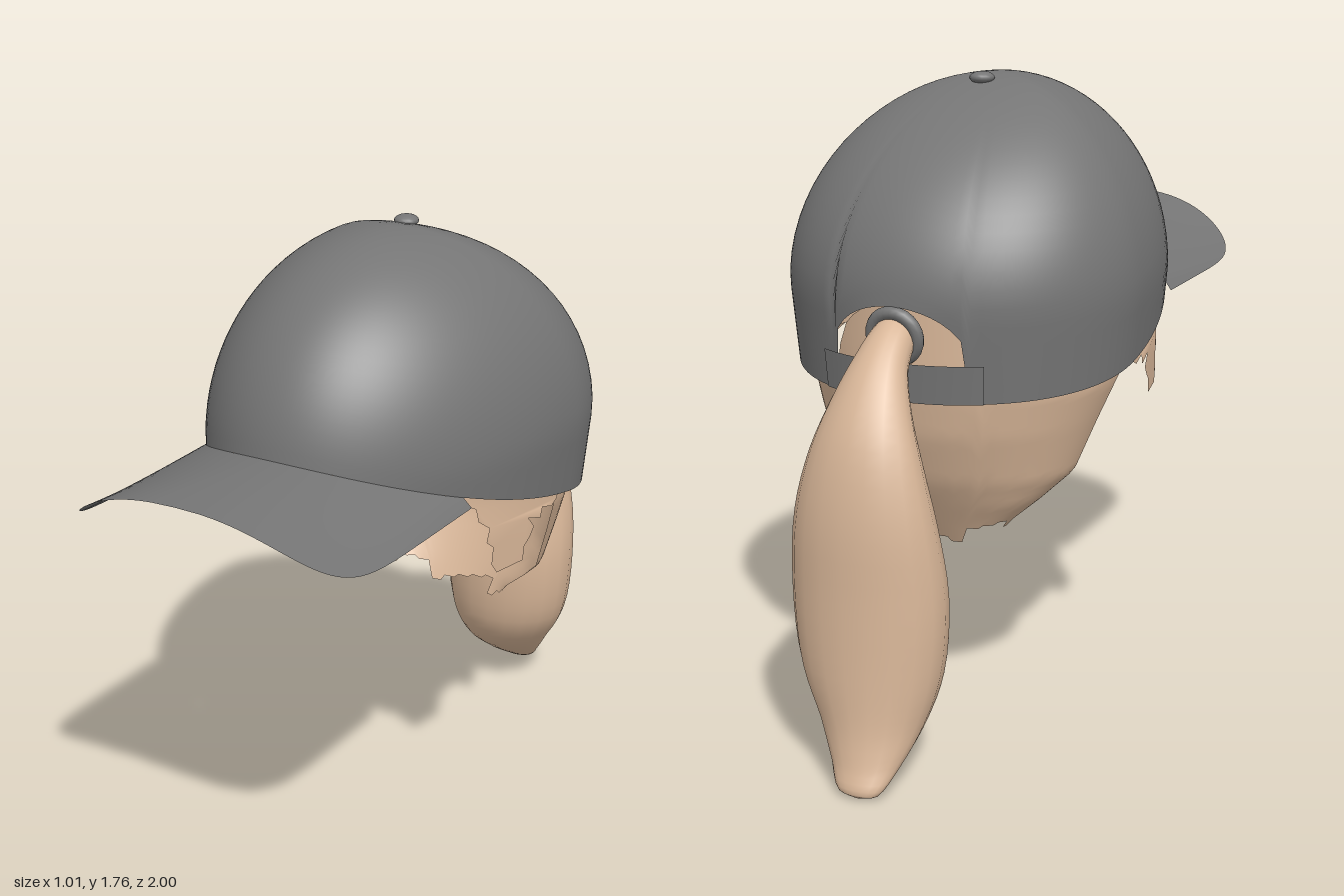
import * as THREE from 'three';

const cloth = new THREE.MeshStandardMaterial({ color: 0x757575, side: THREE.DoubleSide });
cloth.name = 'greyCloth';
const hairMat = new THREE.MeshStandardMaterial({ color: 0xd8b698, side: THREE.DoubleSide });
hairMat.name = 'tanHair';

// Grid surface from a rule f(u, v) -> [x, y, z]; closed joins the u ends
function surface(nu, nv, f, closed = false) {
  const pos = [], idx = [], cols = closed ? nu : nu + 1;
  for (let j = 0; j <= nv; j++)
    for (let i = 0; i < cols; i++) pos.push(...f(i / nu, j / nv));
  for (let j = 0; j < nv; j++)
    for (let i = 0; i < nu; i++) {
      const a = j * cols + i, b = j * cols + ((i + 1) % cols);
      idx.push(a, b, b + cols, a, b + cols, a + cols);
    }
  const g = new THREE.BufferGeometry();
  g.setAttribute('position', new THREE.Float32BufferAttribute(pos, 3));
  g.setIndex(idx);
  g.computeVertexNormals();
  return g;
}

// Linear lookup in rows whose first entry (height) decreases
function lookup(rows, y) {
  let i = 0;
  while (i < rows.length - 2 && y < rows[i + 1][0]) i++;
  const a = rows[i], b = rows[i + 1];
  const t = THREE.MathUtils.clamp((y - a[0]) / (b[0] - a[0]), 0, 1);
  return a.map((n, k) => n + (b[k] - n) * t);
}

// Crown surface: angle 0 is the front
function capPoint(a, y) {
  const u = Math.max(0, (y - 1.2) / 0.55), c = Math.sqrt(Math.max(0, 1 - u * u));
  const below = 0.1 * Math.max(0, 1.2 - y);
  const cz = -0.18 * c, front = 0.61 * c, back = 0.645 * Math.pow(c, 1.3) - below * 0.8;
  const cos = Math.cos(a);
  return [(0.505 * c - below) * Math.sin(a), y, cz + cos * (cos > 0 ? front - cz : back + cz)];
}
const rimAt = z => 1.05 + 0.255 * z + 0.17 * z * z;
const rimY = a => rimAt(capPoint(a, 1.15)[2]);
const arch = x => (Math.abs(x) < 0.2 ? 1.06 + 0.15 * Math.sqrt(1 - (x / 0.2) ** 2) : 0);

export function createModel() {
  const model = new THREE.Group();
  const add = (name, geo, mat) => {
    const m = new THREE.Mesh(geo, mat);
    m.name = name;
    model.add(m);
    return m;
  };

  // Crown with an arched opening at the back
  add('crown', surface(120, 24, (u, v) => {
    const a = u * Math.PI * 2, x = capPoint(a, 1.1)[0];
    const low = Math.cos(a) < 0 ? Math.max(rimY(a), arch(x)) : rimY(a);
    return capPoint(a, low + (1.75 - low) * Math.sin(v * Math.PI / 2));
  }, true), cloth);

  // Strap closing the opening
  add('strap', surface(16, 2, (u, v) => {
    const a = Math.PI + (u - 0.5) * 0.98;
    const p = capPoint(a, rimY(a) + 0.105 * v);
    return [p[0] * 1.01, p[1], p[2] - 0.006];
  }), cloth);

  const button = add('button', new THREE.SphereGeometry(0.035, 16, 10), cloth);
  button.scale.y = 0.5;
  button.position.set(0, 1.741, -0.1);

  // Brim, bent down toward both sides
  add('brim', surface(64, 8, (u, v) => {
    const s = u * 2 - 1, a = s * 0.94, p = capPoint(a, rimY(a));
    const b = s * Math.PI / 2;
    const x = 0.425 * Math.sign(b) * Math.pow(Math.abs(Math.sin(b)), 0.6);
    const z = 0.28 + 0.715 * Math.pow(Math.max(0, Math.cos(b)), 0.25);
    const y = 1.278 - 0.168 * Math.pow(Math.abs(x) / 0.425, 2.5);
    return [p[0] + (x - p[0]) * v, p[1] + (y - p[1]) * v, p[2] + (z - p[2]) * v];
  }), cloth);

  // Back hair: height, half width, z of the front edge, z of the back
  const levels = [
    [1.22, 0.46, -0.08, -0.61], [1.03, 0.455, -0.1, -0.61], [0.96, 0.44, -0.18, -0.6],
    [0.85, 0.4, -0.22, -0.58], [0.71, 0.35, -0.26, -0.53], [0.64, 0.28, -0.33, -0.49],
    [0.57, 0.2, -0.36, -0.45], [0.5, 0.16, -0.37, -0.41],
  ];
  const jag = [0, 0.02, 0.01, 0, -0.05, -0.035, -0.025, -0.015, -0.005, -0.05, -0.03, -0.015, 0];
  add('backHair', surface(48, 24, (u, v) => {
    const a = (u - 0.5) * Math.PI, x0 = 0.45 * Math.sin(a);
    const top = Math.max(rimAt(-0.1 - 0.5 * Math.cos(a)) + 0.015, arch(x0));
    const bottom = 0.56 + jag[Math.floor(u * 12)];
    const y = top + (bottom - top) * v;
    const [, w, edge, back] = lookup(levels, y);
    return [w * Math.sin(a), y, edge + (back - edge) * Math.cos(a)];
  }), hairMat);

  // Ragged hair in front of each ear, curved to the inside of the crown
  const ragged = [
    [0.46, 1.23], [0.4, 1.18], [0.31, 1.14], [0.29, 1.12], [0.22, 1.08], [0.21, 1.04], [0.17, 1.01],
    [0.18, 0.97], [0.155, 0.95], [0.16, 0.9], [0.14, 0.87], [0.03, 0.87], [0.025, 0.91],
    [0, 0.93], [-0.02, 0.955], [0.01, 0.99], [-0.05, 0.97], [-0.06, 1.0], [-0.11, 0.985],
    [-0.14, 1.0], [-0.15, 1.05], [0, 1.08], [0.15, 1.13], [0.3, 1.18],
  ].map(p => new THREE.Vector2(...p));
  for (const side of [1, -1]) {
    const g = new THREE.ShapeGeometry(new THREE.Shape(ragged));
    const p = g.attributes.position;
    for (let i = 0; i < p.count; i++) {
      const z = p.getX(i);
      p.setXYZ(i, side * 0.47 * Math.sqrt(1 - ((z + 0.18) / 0.79) ** 2), p.getY(i), z);
    }
    g.computeVertexNormals();
    add(side > 0 ? 'leftSideHair' : 'rightSideHair', g, hairMat);
  }

  // Ponytail rings: outer z, outer y, inner z, inner y, centre x, half width
  const rings = [
    [-0.57, 1.19, -0.57, 1.09, 0, 0.055], [-0.65, 1.18, -0.62, 1.07, 0, 0.06],
    [-0.74, 1.12, -0.67, 1.02, 0, 0.075], [-0.82, 1.03, -0.695, 0.92, 0, 0.11],
    [-0.89, 0.9, -0.695, 0.8, 0, 0.155], [-0.93, 0.72, -0.675, 0.67, 0, 0.195],
    [-0.94, 0.5, -0.645, 0.48, -0.005, 0.215], [-0.95, 0.3, -0.66, 0.28, -0.015, 0.195],
    [-0.96, 0.17, -0.72, 0.17, -0.035, 0.145], [-0.98, 0.08, -0.83, 0.085, -0.05, 0.1],
    [-1.0, 0.02, -0.95, 0.012, -0.06, 0.055], [-0.985, 0.005, -0.975, 0.002, -0.06, 0.005],
  ];
  const curve = k => new THREE.CatmullRomCurve3(rings.map(r => new THREE.Vector3(...r.slice(k, k + 3))));
  const first = curve(0), second = curve(3);
  add('ponytail', surface(20, 44, (u, v) => {
    const a = u * Math.PI * 2, p = first.getPoint(v), q = second.getPoint(v);
    const t = 0.5 + 0.5 * Math.cos(a);
    return [q.y + q.z * Math.sin(a), q.x + (p.y - q.x) * t, p.z + (p.x - p.z) * t];
  }, true), hairMat);

  // Elastic around the root of the ponytail
  const tie = add('hairTie', new THREE.TorusGeometry(0.065, 0.018, 10, 24), cloth);
  tie.position.set(0, 1.13, -0.63);
  tie.rotation.x = -0.2;

  return model;
}
